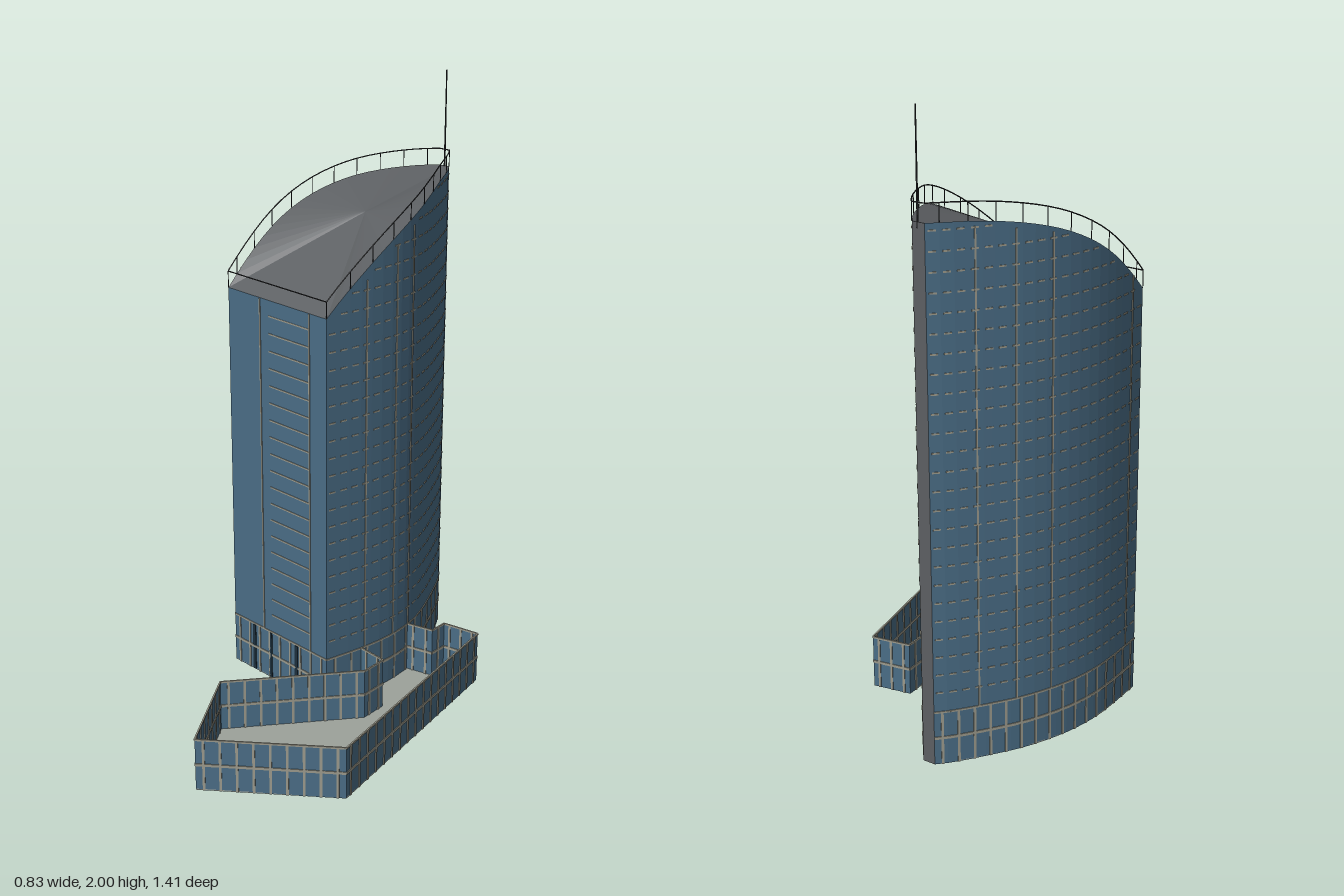
import * as THREE from 'three';
import { mergeGeometries } from 'three/addons/utils/BufferGeometryUtils.js';

const mat = (name, color, double) => {
  const m = new THREE.MeshStandardMaterial({ color });
  m.name = name;
  if (double) m.side = THREE.DoubleSide;
  return m;
};
const V = (x, z) => new THREE.Vector2(x, z);

// Plan points are (x, z). The tower has a straight front and two curved sides.
const frontLeft = V(0.04, 0.07), frontRight = V(-0.413, -0.01);
const east = new THREE.SplineCurve([frontLeft, V(0.085, -0.07), V(0.11, -0.2), V(0.11, -0.32),
  V(0.087, -0.43), V(0.05, -0.54), V(0.012, -0.64), V(-0.02, -0.7)]);
const west = new THREE.SplineCurve([V(-0.062, -0.705), V(-0.11, -0.665), V(-0.19, -0.58), V(-0.265, -0.49),
  V(-0.33, -0.38), V(-0.37, -0.28), V(-0.393, -0.18), frontRight]);
const podium = [V(0.083, -0.065), V(0.19, -0.04), V(0.183, 0.055), V(-0.15, 0.39), V(0.01, 0.705),
  V(0.41, 0.47), V(0.345, -0.38), V(0.213, -0.375), V(0.207, -0.31), V(0.11, -0.3)];
const BASE = 0.18;

// Rim height grows with distance behind the front wall
const rim = (p) => {
  const t = (p.x - 0.04) * 0.173 - (p.y - 0.07) * 0.985;
  return 1.357 + 0.323 * (1 - Math.pow(Math.max(0, 1 - t / 0.748), 2.3));
};

// Upright sheet following a plan path
function wall(path, top) {
  const pos = [];
  for (let i = 0; i + 1 < path.length; i++) {
    const a = path[i], b = path[i + 1], ha = top(a), hb = top(b);
    pos.push(a.x, 0, a.y, b.x, 0, b.y, b.x, hb, b.y, a.x, 0, a.y, b.x, hb, b.y, a.x, ha, a.y);
  }
  const g = new THREE.BufferGeometry();
  g.setAttribute('position', new THREE.Float32BufferAttribute(pos, 3));
  g.computeVertexNormals();
  return g;
}

// Thin bar between two plan points
function bar(a, b, y0, y1, depth) {
  const g = new THREE.BoxGeometry(a.distanceTo(b), y1 - y0, depth);
  g.rotateY(-Math.atan2(b.y - a.y, b.x - a.x));
  return g.translate((a.x + b.x) / 2, (y0 + y1) / 2, (a.y + b.y) / 2);
}

// Upright mullion centred at fraction f of an edge
function post(a, b, f, width, y0, y1) {
  const c = a.clone().lerp(b, f), d = b.clone().sub(a).setLength(width / 2);
  return bar(c.clone().sub(d), c.clone().add(d), y0, y1, 0.005);
}

// Storefront grid: mullions, middle rail and top rail
function storefront(path) {
  const out = [];
  for (let i = 0; i + 1 < path.length; i++) {
    const a = path[i], b = path[i + 1];
    const n = Math.max(1, Math.round(a.distanceTo(b) / 0.05));
    for (let k = 0; k < n; k++) out.push(post(a, b, (k + 0.5) / n, 0.008, 0, BASE));
    out.push(bar(a, b, 0.085, 0.094, 0.005), bar(a, b, BASE - 0.006, BASE, 0.005));
  }
  return out;
}

function slab(points, thickness) {
  const g = new THREE.ExtrudeGeometry(new THREE.Shape(points), { depth: thickness, bevelEnabled: false });
  return g.rotateX(Math.PI / 2).translate(0, thickness, 0);
}

export function createModel() {
  const model = new THREE.Group();
  const glass = mat('blue glass', 0x4a6d86, true);
  const trim = mat('beige trim', 0x9c9a8c);
  const concrete = mat('pale concrete', 0x9da29b);
  const roofGrey = mat('roof grey', 0x5c5f62, true);
  const dark = mat('dark metal', 0x2b2c2e);
  const doorDark = mat('dark glass', 0x1d2f3c);
  const add = (name, geometry, material) => {
    const m = new THREE.Mesh(geometry, material);
    m.name = name;
    model.add(m);
    return m;
  };

  const eastPts = east.getSpacedPoints(18), westPts = west.getSpacedPoints(20);
  const front = [frontRight, frontLeft];
  const outline = [...eastPts, ...westPts];

  // Tower shell and the narrow dark strip at its back tip
  add('towerGlass', mergeGeometries([wall(eastPts, rim), wall(westPts, rim), wall(front, rim)]), glass);
  const tip = [eastPts[18], westPts[0]];
  add('backStrip', wall(tip, rim), roofGrey);

  // Curved roof fanned around a central point
  const pos = [];
  outline.forEach((a, i) => {
    const b = outline[(i + 1) % outline.length];
    pos.push(-0.1, 1.59, -0.33, a.x, rim(a), a.y, b.x, rim(b), b.y);
  });
  const roof = new THREE.BufferGeometry();
  roof.setAttribute('position', new THREE.Float32BufferAttribute(pos, 3));
  roof.computeVertexNormals();
  add('roof', roof, roofGrey);

  // Floor dashes
  const dashes = [];
  for (let y = 0.24; y < 1.66; y += 0.059) {
    for (const pts of [eastPts, westPts]) {
      for (let i = 0; i + 1 < pts.length; i++) {
        const a = pts[i], b = pts[i + 1];
        if (y + 0.01 > Math.min(rim(a), rim(b))) continue;
        dashes.push(bar(a.clone().lerp(b, 0.2), a.clone().lerp(b, 0.75), y, y + 0.005, 0.004));
      }
    }
    if (y < 1.34) dashes.push(bar(frontRight.clone().lerp(frontLeft, 0.42),
      frontRight.clone().lerp(frontLeft, 0.83), y, y + 0.005, 0.004));
  }
  add('floorLines', mergeGeometries(dashes), trim);

  // Full-height vertical lines
  const verticals = [0.33, 0.83].map((f) => post(frontRight, frontLeft, f, 0.005, BASE, 1.355));
  for (const [pts, spots] of [[eastPts, [3, 6, 8]], [westPts, [3, 6, 9, 18]]]) {
    for (const i of spots) verticals.push(post(pts[i], pts[i + 1], 0.5, 0.005, BASE, rim(pts[i]) - 0.02));
  }
  add('verticalLines', mergeGeometries(verticals), trim);

  // Storefront around the tower base, with dark openings at the front
  add('baseFrames', mergeGeometries([...storefront(front), ...storefront(east.getSpacedPoints(12)),
    ...storefront(west.getSpacedPoints(16))]), trim);
  add('baseOpenings', mergeGeometries([0.22, 0.4, 0.68].map((f) =>
    post(frontRight, frontLeft, f, 0.014, 0.004, BASE - 0.008))), doorDark);

  // Podium: open-topped glass enclosure over a thin slab
  add('podiumWalls', wall(podium, () => BASE), glass);
  add('podiumFrames', mergeGeometries(storefront(podium)), trim);
  add('podiumFloor', slab(podium, 0.004), concrete);
  add('towerFloor', slab(outline, 0.004), concrete);

  // Roof rail on posts
  const RAIL = 0.055;
  const rail = [];
  const rod = (a, b, r) => rail.push(new THREE.TubeGeometry(new THREE.LineCurve3(a, b), 1, r, 5));
  outline.forEach((a, i) => {
    const b = outline[(i + 1) % outline.length];
    const ta = new THREE.Vector3(a.x, rim(a) + RAIL, a.y);
    rod(ta, new THREE.Vector3(b.x, rim(b) + RAIL, b.y), 0.002);
    if (i % 2 === 0 || i === outline.length - 1) rod(new THREE.Vector3(a.x, rim(a), a.y), ta, 0.0015);
  });
  add('roofRail', mergeGeometries(rail), dark);

  // Mast at the back tip
  add('mast', new THREE.CylinderGeometry(0.002, 0.003, 0.34, 6).translate(-0.038, 1.83, -0.7), dark);
  return model;
}
